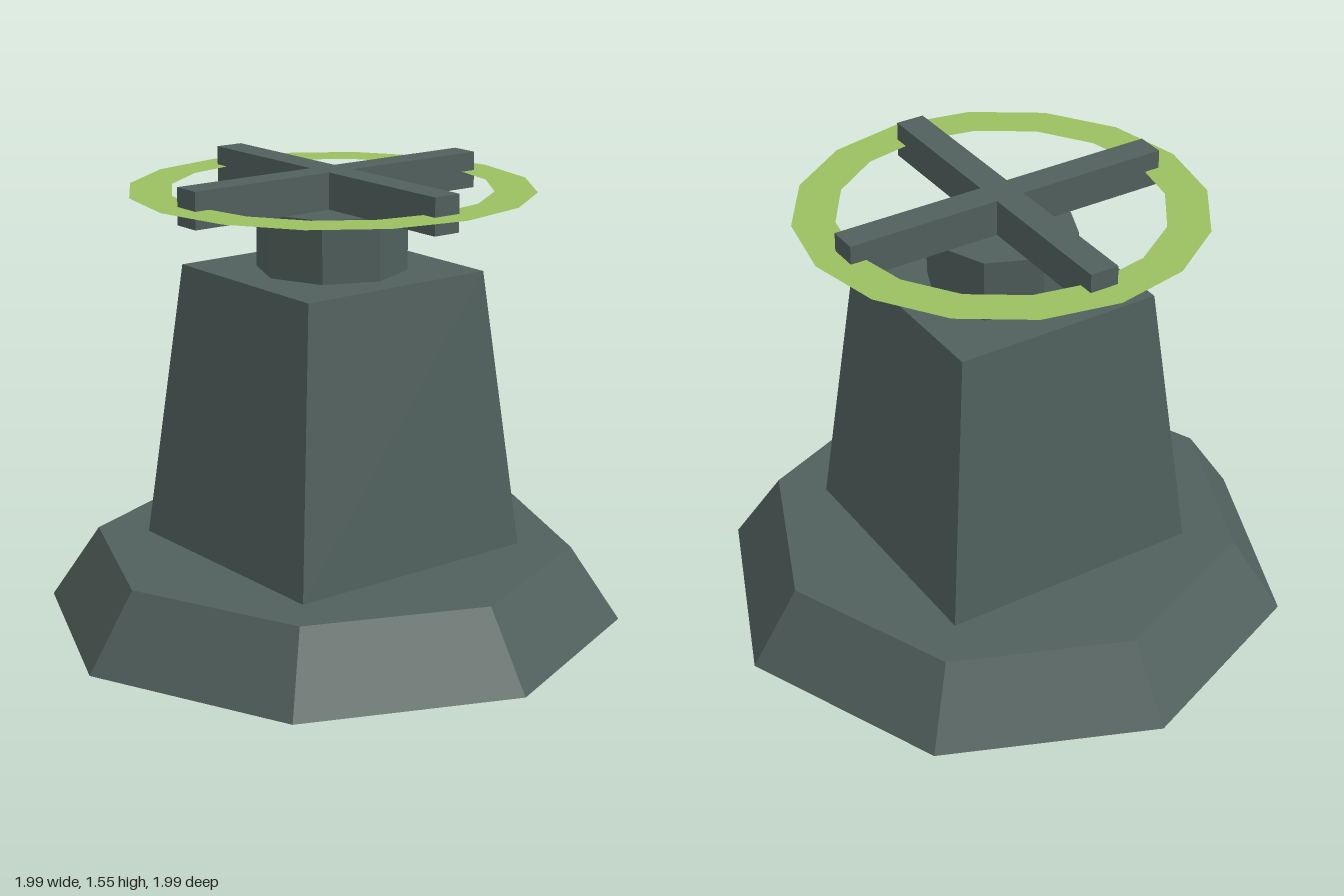
import * as THREE from 'three';

export function createModel() {
  const model = new THREE.Group();
  const slate = new THREE.MeshStandardMaterial({ color: 0x50605c, flatShading: true });
  slate.name = 'slate metal';
  const green = new THREE.MeshStandardMaterial({ color: 0x9bbf60, flatShading: true, side: THREE.DoubleSide });
  green.name = 'light green';

  const add = (name, geometry, material, y) => {
    const mesh = new THREE.Mesh(geometry, material);
    mesh.name = name;
    mesh.position.y = y;
    model.add(mesh);
    return mesh;
  };

  // Sloped octagonal foot, corners on the axes
  add('base', new THREE.CylinderGeometry(0.826, 0.997, 0.256, 8), slate, 0.128);

  // Tapered rectangular column
  const column = new THREE.BoxGeometry(0.93, 0.96, 0.89);
  const p = column.attributes.position;
  for (let i = 0; i < p.count; i++) {
    if (p.getY(i) > 0) {
      p.setX(i, Math.sign(p.getX(i)) * 0.367);
      p.setZ(i, Math.sign(p.getZ(i)) * 0.35);
    }
  }
  column.computeVertexNormals();
  add('column', column, slate, 0.735);

  // Octagonal hub under the wheel
  add('hub', new THREE.CylinderGeometry(0.255, 0.255, 0.212, 8), slate, 1.321);

  // Crossed spokes
  add('spokeX', new THREE.BoxGeometry(1.17, 0.124, 0.1), slate, 1.489);
  add('spokeZ', new THREE.BoxGeometry(0.1, 0.124, 1.17), slate, 1.489);

  // Flat sixteen-sided wheel rim
  const rim = new THREE.RingGeometry(0.54, 0.682, 16, 1);
  rim.rotateX(-Math.PI / 2);
  add('wheelRim', rim, green, 1.487);

  return model;
}
